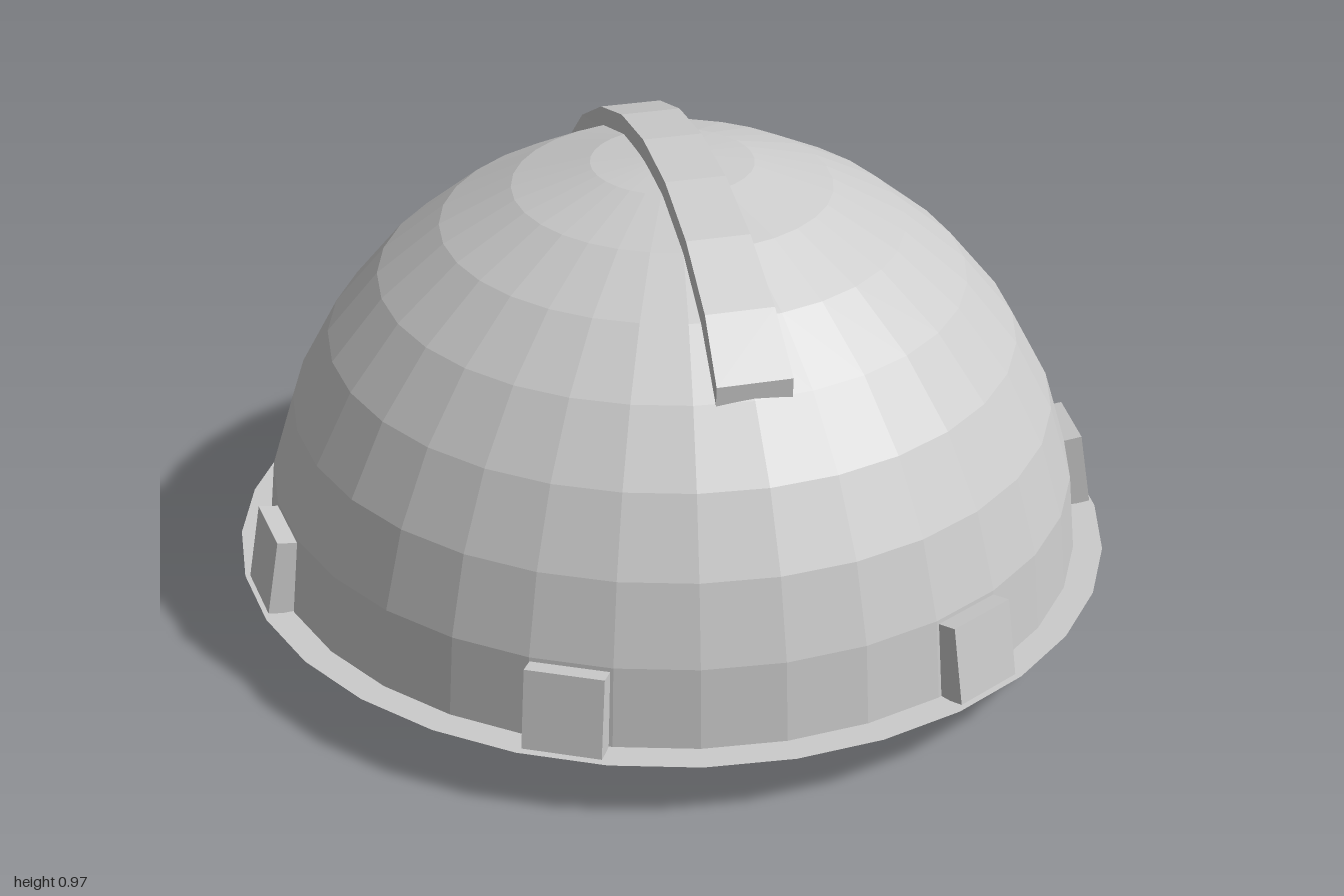
import * as THREE from 'three';

const RIM_Y = 0.12, CENTRE_Z = 0.125, SEGMENTS = 32;
const DOME_R = 0.815, LINING_R = 0.8, BRIM_R = 0.873;

const material = new THREE.MeshStandardMaterial({
  color: 0xcccccc, flatShading: true, side: THREE.DoubleSide,
});

function part(name, geometry) {
  const mesh = new THREE.Mesh(geometry, material);
  mesh.name = name;
  return mesh;
}

// Half sphere with eight rows of facets, open at the bottom
function hemisphere(radius) {
  const geometry = new THREE.SphereGeometry(radius, SEGMENTS, 8, 0, Math.PI * 2, 0, Math.PI / 2);
  return geometry;
}

// Sloping sheet from the rim arc down to the outer edge of the peak
function visorGeometry() {
  // [angle from the back in rim steps, backward reach, drop]
  const half = [[0, 0.252, 0.12], [1, 0.252, 0.12], [2, 0.252, 0.12], [3, 0.252, 0.12],
    [3.5, 0.19, 0.12], [4, 0.13, 0.075], [5, 0, 0]];
  const columns = [...half.slice(1).reverse().map(([s, r, d]) => [-s, r, d]), ...half];
  const positions = [], index = [];
  columns.forEach(([step, reach, drop], i) => {
    const a = step * Math.PI * 2 / SEGMENTS;
    const x = BRIM_R * Math.sin(a), z = -BRIM_R * Math.cos(a);
    positions.push(x, 0, z, x, -drop, z - reach);
    if (i > 0) {
      const p = 2 * (i - 1);
      index.push(p, p + 2, p + 1, p + 1, p + 2, p + 3);
    }
  });
  const geometry = new THREE.BufferGeometry();
  geometry.setAttribute('position', new THREE.Float32BufferAttribute(positions, 3));
  geometry.setIndex(index);
  geometry.computeVertexNormals();
  return geometry;
}

// Curved strip over the crown, a little wider at its ends
function ridgeGeometry() {
  const steps = 8, positions = [], index = [];
  for (let i = 0; i <= steps; i++) {
    const t = i / steps * 2 - 1, a = t * Math.PI / 4;
    const end = Math.abs(t) === 1;
    const w = 0.058 + 0.014 * t * t;
    const outer = end ? [Math.sign(t) * 0.575, 0.612] : [0.85 * Math.sin(a), 0.85 * Math.cos(a)];
    const inner = end ? [Math.sign(t) * 0.572, 0.572] : [0.805 * Math.sin(a), 0.805 * Math.cos(a)];
    for (const [x, [z, y]] of [[-w, outer], [w, outer], [w, inner], [-w, inner]]) positions.push(x, y, z);
    if (i > 0) {
      for (let k = 0; k < 4; k++) {
        const p = 4 * (i - 1) + k, q = 4 * (i - 1) + (k + 1) % 4;
        index.push(p, p + 4, q, q, p + 4, q + 4);
      }
    }
  }
  const last = 4 * steps;
  index.push(0, 1, 2, 0, 2, 3, last, last + 2, last + 1, last, last + 3, last + 2);
  const geometry = new THREE.BufferGeometry();
  geometry.setAttribute('position', new THREE.Float32BufferAttribute(positions, 3));
  geometry.setIndex(index);
  geometry.computeVertexNormals();
  return geometry;
}

export function createModel() {
  const helmet = new THREE.Group();
  helmet.name = 'helmet';

  // Everything is built around the centre of the rim
  const body = new THREE.Group();
  body.name = 'body';
  body.position.set(0, RIM_Y, CENTRE_Z);
  helmet.add(body);

  body.add(part('domeShell', hemisphere(DOME_R)));
  body.add(part('domeLining', hemisphere(LINING_R)));
  body.add(part('brim', new THREE.RingGeometry(LINING_R, BRIM_R, SEGMENTS).rotateX(-Math.PI / 2)));
  body.add(part('visor', visorGeometry()));
  body.add(part('crownRidge', ridgeGeometry()));

  // Three clips on each side, leaning in with the dome
  const clipGeometry = new THREE.BoxGeometry(0.15, 0.155, 0.05);
  for (const side of [1, -1]) {
    for (const [name, degrees] of [['frontClip', 28.3], ['sideClip', 84.5], ['backClip', 141.2]]) {
      const pivot = new THREE.Group();
      pivot.name = (side > 0 ? 'left ' : 'right ') + name;
      pivot.rotation.y = side * THREE.MathUtils.degToRad(degrees);
      const clip = part(name, clipGeometry);
      clip.position.set(0, 0.077, 0.823);
      clip.rotation.x = -0.17;
      pivot.add(clip);
      body.add(pivot);
    }
  }
  return helmet;
}
